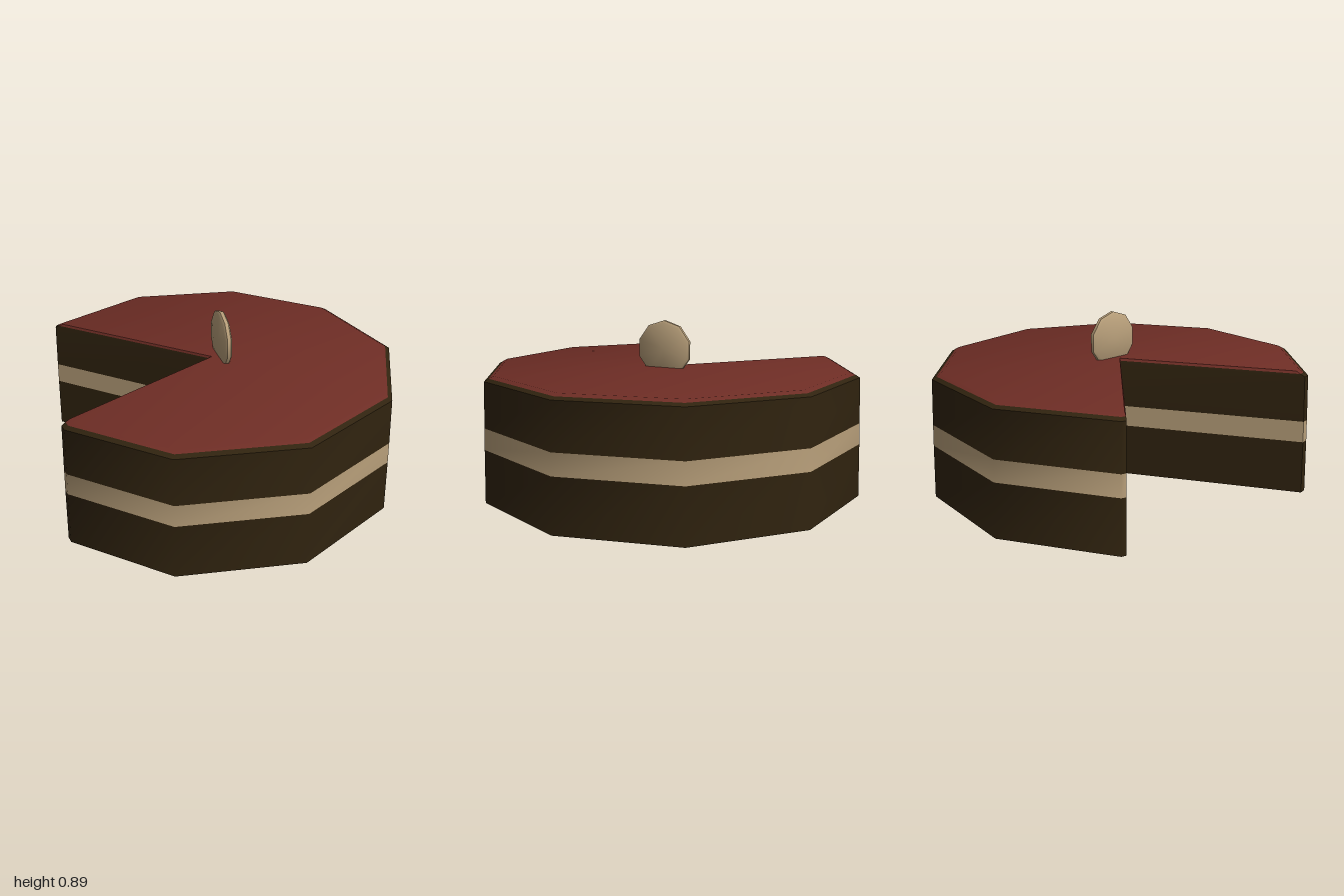
import * as THREE from 'three';
import { toCreasedNormals } from 'three/addons/utils/BufferGeometryUtils.js';

// Plan of the cake: a decagon with one wedge removed, cut corners slightly clipped
const outline = [[0.008, 0.975], [0.045, 0.988]];
for (let k = 1; k <= 7; k++) {
  const a = k * Math.PI / 5;
  outline.push([Math.sin(a), Math.cos(a)]);
}
outline.push([-0.956, 0.295], [-0.938, 0.313]);

// Stack of scaled outlines; each ring is [scale, height, apex inset]
function loft(rings, capBottom, capTop) {
  const n = outline.length + 1;
  const pos = [], index = [];
  for (const [s, y, inset = 0] of rings) {
    // inset shifts the cut edges back from the missing wedge
    const dx = inset, dz = -inset * 0.7;
    outline.forEach(([x, z], i) => {
      const first = i < 2, last = i > n - 4;
      pos.push(x * s + (first ? dx : 0), y, z * s + (last ? dz : 0));
    });
    pos.push(0.004 + dx, y, dz);
  }
  for (let r = 0; r < rings.length - 1; r++) {
    for (let i = 0; i < n; i++) {
      const a = r * n + i, b = r * n + (i + 1) % n;
      index.push(a, b, b + n, a, b + n, a + n);
    }
  }
  const top = (rings.length - 1) * n;
  for (let i = 0; i < n - 2; i++) {
    if (capBottom) index.push(n - 1, i + 1, i);
    if (capTop) index.push(top + n - 1, top + i, top + i + 1);
  }
  const g = new THREE.BufferGeometry();
  g.setAttribute('position', new THREE.Float32BufferAttribute(pos, 3));
  g.setIndex(index);
  return toCreasedNormals(g, 0.85);
}

export function createModel() {
  const cake = new THREE.Group();
  cake.name = 'cake';
  const material = (name, color) => {
    const m = new THREE.MeshStandardMaterial({ color });
    m.name = name;
    return m;
  };
  const sponge = material('chocolate sponge', 0x30230f);
  const cream = material('cream', 0xb89f7a);
  const icing = material('red icing', 0x6e2d25);

  const add = (name, geometry, mat) => {
    const mesh = new THREE.Mesh(geometry, mat);
    mesh.name = name;
    cake.add(mesh);
    return mesh;
  };

  // Layers from the bottom up
  add('lowerSponge', loft([[1.003, 0], [0.997, 0.275]], true, false), sponge);
  add('creamFilling', loft([[0.997, 0.275], [0.994, 0.385]], false, false), cream);
  add('upperSponge', loft([[0.994, 0.385], [0.986, 0.62], [0.963, 0.633, 0.002]], false, false), sponge);
  add('icingTop', loft([[0.963, 0.633, 0.002], [0.94, 0.645, 0.01]], false, true), icing);

  // Ten-sided almond slice standing in the icing
  const profile = [[0, -0.018], [0.138, -0.018], [0.15, -0.009], [0.15, 0.009], [0.138, 0.018], [0, 0.018]]
    .map(([r, h]) => new THREE.Vector2(r, h));
  const disc = new THREE.LatheGeometry(profile, 10);
  disc.rotateX(Math.PI / 2);
  const almond = add('almondSlice', toCreasedNormals(disc, 0.7), cream);
  almond.position.set(0.035, 0.74, -0.055);
  almond.rotation.y = -0.51;

  return cake;
}
